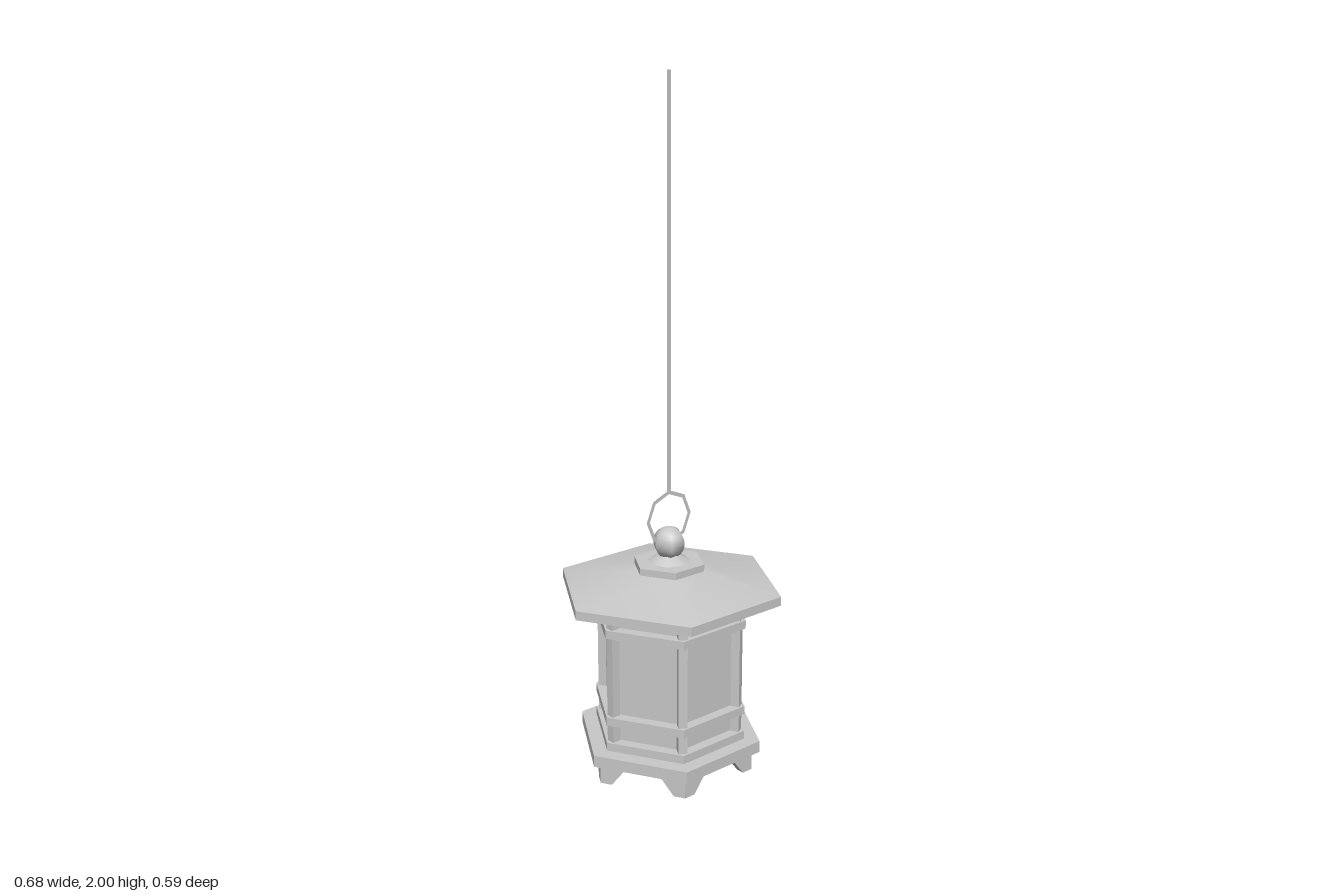
import * as THREE from 'three';

export function createModel() {
  const model = new THREE.Group();
  model.name = 'hangingLantern';
  const grey = new THREE.MeshStandardMaterial({ color: 0xc8c8c8, side: THREE.DoubleSide });
  grey.name = 'lightGrey';

  const add = (name, geometry, parent = model) => {
    const mesh = new THREE.Mesh(geometry, grey);
    mesh.name = name;
    parent.add(mesh);
    return mesh;
  };
  const facet = (geometry) => {
    const g = geometry.toNonIndexed();
    g.computeVertexNormals();
    return g;
  };
  // Six-sided slab with corners on the x axis
  const hexagon = (name, rBottom, rTop, y0, y1, smooth = false, open = false) => {
    const g = new THREE.CylinderGeometry(rTop, rBottom, y1 - y0, 6, 1, open);
    g.rotateY(Math.PI / 6).translate(0, (y0 + y1) / 2, 0);
    return add(name, smooth ? g : facet(g));
  };

  // Base, body and rails
  hexagon('basePlate', 0.283, 0.283, 0.06, 0.095);
  hexagon('baseStep', 0.235, 0.235, 0.095, 0.12);
  hexagon('wallPanels', 0.2, 0.2, 0.12, 0.53);
  hexagon('lowerRail', 0.235, 0.235, 0.175, 0.2);
  hexagon('upperRail', 0.235, 0.235, 0.445, 0.47);

  // Skirt with a trapezoid cut out of each side, leaving feet at the corners
  const outline = new THREE.Shape([
    [-0.13, 0], [-0.095, 0], [-0.058, 0.048], [0.058, 0.048],
    [0.095, 0], [0.13, 0], [0.13, 0.06], [-0.13, 0.06],
  ].map(([x, y]) => new THREE.Vector2(x, y)));
  const skirtGeometry = new THREE.ExtrudeGeometry(outline, { depth: 0.025, bevelEnabled: false });
  skirtGeometry.translate(0, 0, 0.225 - 0.025);
  const postGeometry = new THREE.BoxGeometry(0.026, 0.42, 0.026).translate(0.209, 0.32, 0);

  const feet = new THREE.Group();
  feet.name = 'feet';
  const posts = new THREE.Group();
  posts.name = 'posts';
  model.add(feet, posts);
  for (let i = 0; i < 6; i++) {
    add('footSkirt', skirtGeometry, feet).rotation.y = i * Math.PI / 3;
    add('cornerPost', postGeometry, posts).rotation.y = i * Math.PI / 3;
  }

  // Roof with a softly shaded slope
  hexagon('roofRim', 0.338, 0.338, 0.53, 0.557);
  hexagon('roofSlope', 0.338, 0.09, 0.557, 0.608, true, true);
  hexagon('roofCap', 0.108, 0.108, 0.603, 0.625);

  // Finial
  add('finialCollar', new THREE.CylinderGeometry(0.025, 0.062, 0.022, 8).translate(0, 0.636, 0));
  add('finialBall', new THREE.SphereGeometry(0.048, 6, 14).translate(0, 0.68, 0));

  // Flat hanging loop and cord
  add('hangingLoop', new THREE.RingGeometry(0.071, 0.083, 8).translate(0, 0.755, 0));
  add('cord', new THREE.PlaneGeometry(0.014, 1.166).translate(0, 1.417, 0));

  return model;
}
